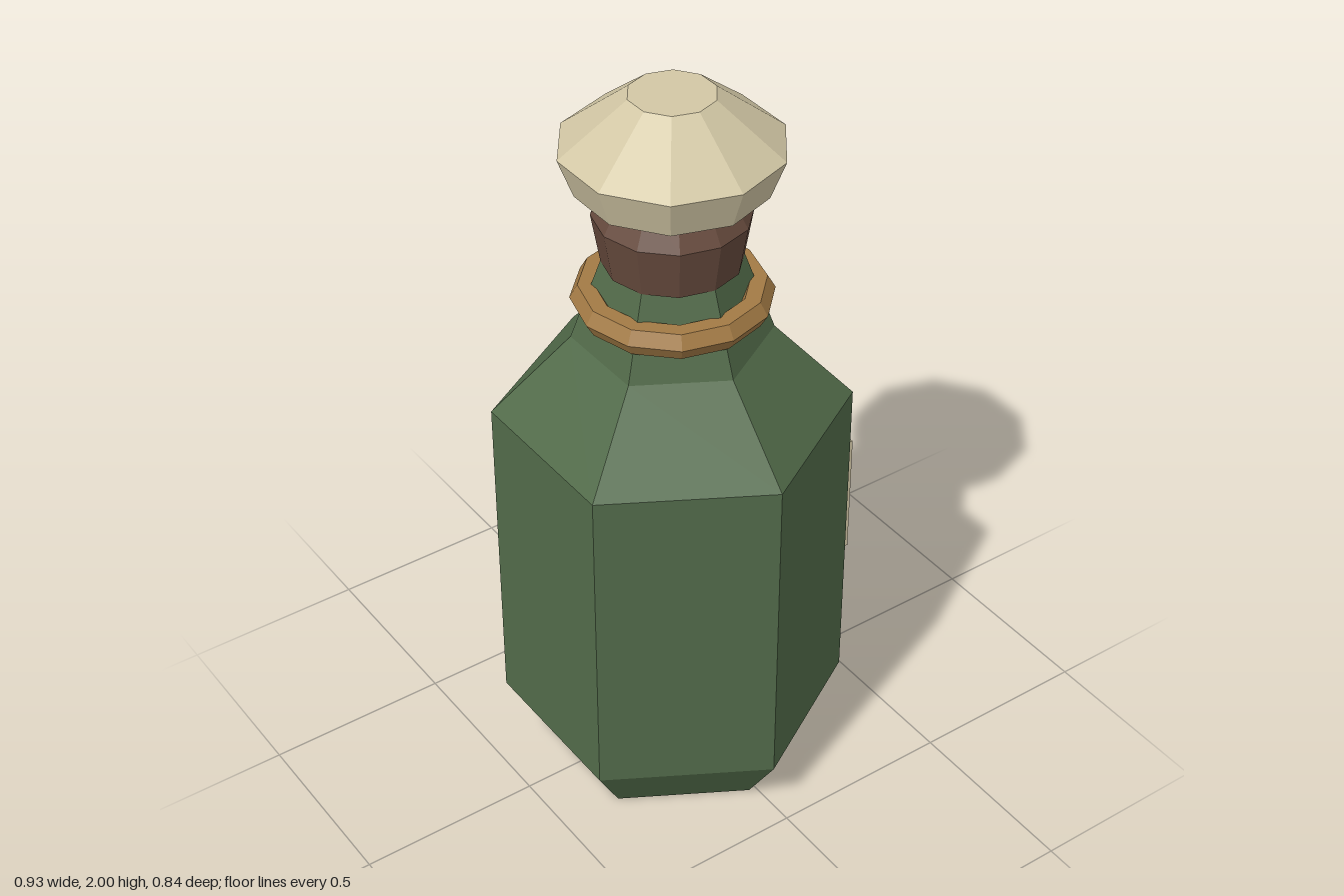
import * as THREE from 'three';

const AXIS_Z = 0.02;
const paint = (color) => new THREE.MeshStandardMaterial({ color, flatShading: true });

// Faceted solid of revolution with a corner on the x axis; profile is [radius, y], bottom to top
function turned(name, profile, sides, material) {
  const points = profile.map(([r, y]) => new THREE.Vector2(r, y));
  const mesh = new THREE.Mesh(new THREE.LatheGeometry(points, sides, Math.PI / 2), material);
  mesh.name = name;
  mesh.position.z = AXIS_Z;
  return mesh;
}

export function createModel() {
  const model = new THREE.Group();
  model.name = 'bottle';
  const glass = paint(0x526b4a);
  const cream = paint(0xd2c7a5);
  const cork = paint(0x664a3d);
  const brass = paint(0xa27a45);

  // Six-sided body with sloped shoulders and neck
  model.add(turned('body', [
    [0, 0], [0.357, 0], [0.463, 0.165], [0.463, 1.1], [0.256, 1.32], [0.171, 1.56], [0, 1.56],
  ], 6, glass));

  // Stopper: cork plug and faceted knob
  model.add(turned('cork', [
    [0, 1.54], [0.177, 1.54], [0.2, 1.675], [0.14, 1.775], [0, 1.775],
  ], 12, cork));
  model.add(turned('stopperKnob', [
    [0, 1.76], [0.245, 1.76], [0.284, 1.865], [0.11, 2], [0, 2],
  ], 10, cream));

  // Ring around the neck
  const ring = new THREE.Mesh(new THREE.TorusGeometry(0.215, 0.041, 6, 12), brass);
  ring.name = 'neckRing';
  ring.rotation.x = Math.PI / 2;
  ring.position.set(0, 1.438, AXIS_Z);
  model.add(ring);

  // Blank label on the back face
  const label = new THREE.Mesh(new THREE.BoxGeometry(0.38, 0.355, 0.06), cream);
  label.name = 'label';
  label.position.set(0, 0.718, -0.394);
  model.add(label);

  return model;
}
